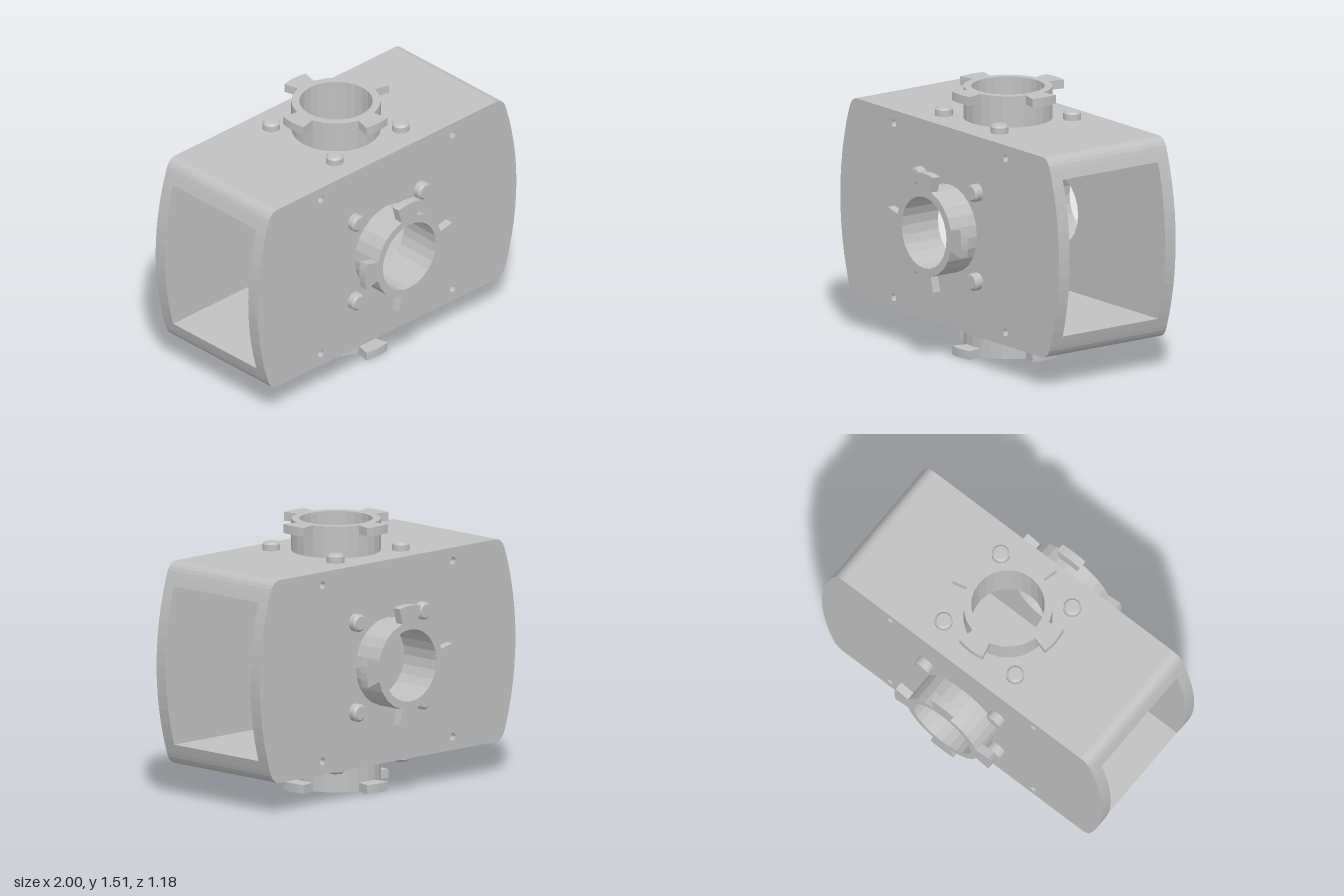
import * as THREE from 'three';

const CY = 0.7575;             // height of the body's centre
const HALF_H = 0.575, HALF_D = 0.41;
const OPEN_H = 0.45, OPEN_D = 0.335;
const BORE = 0.205, SIDES = 24;

const grey = new THREE.MeshStandardMaterial({ color: 0xc0c0c0 });
grey.name = 'grey metal';

// points of an arc, angles in degrees
function arc(r, from, to, n, cx = 0, cy = 0) {
  return Array.from({ length: n + 1 }, (_, i) => {
    const a = THREE.MathUtils.degToRad(from + (to - from) * i / n);
    return new THREE.Vector2(cx + r * Math.cos(a), cy + r * Math.sin(a));
  });
}
const circle = (r, n, cx, cy) => arc(r, 0, 360, n, cx, cy).slice(0, n);

function extrude(points, holes, depth, z) {
  const shape = new THREE.Shape(points);
  shape.holes = holes.map(h => new THREE.Path(h));
  const g = new THREE.ExtrudeGeometry(shape, { depth, bevelEnabled: false });
  return g.translate(0, 0, z);
}

function add(parent, name, geometry) {
  const mesh = new THREE.Mesh(geometry, grey);
  mesh.name = name;
  parent.add(mesh);
  return mesh;
}

// bulged end of the body: x for a height above the centre
const R = 1.62;
const endX = y => 1 - R + Math.sqrt(R * R - y * y);

// right-hand outline from height y0 up to the flat top, with the rounded corner
function upperEdge(y0, n) {
  const y1 = 0.505, pts = [];
  for (let i = 0; i <= n; i++) {
    const y = y0 + (y1 - y0) * i / n;
    pts.push(new THREE.Vector2(endX(y), y));
  }
  const corner = new THREE.QuadraticBezierCurve(
    new THREE.Vector2(endX(y1), y1), new THREE.Vector2(0.899, HALF_H), new THREE.Vector2(0.845, HALF_H));
  return pts.concat(corner.getPoints(5).slice(1));
}

// tubular flange with four locking lugs and four bolts, facing +z
function makePort(name, base) {
  const port = new THREE.Group();
  port.name = name;
  add(port, 'portTube', extrude(circle(0.25, SIDES), [circle(BORE, SIDES)], 0.18, base));
  for (let i = 0; i < 4; i++) {
    const a = i * 90;
    const lug = [...arc(0.34, a - 14, a + 14, 4), ...arc(0.24, a + 14, a - 14, 4)];
    add(port, 'lockingLug', extrude(lug, [], 0.05, base + 0.13));
    const bolt = new THREE.Group();
    bolt.name = 'bolt';
    add(bolt, 'boltHead', new THREE.CylinderGeometry(0.05, 0.05, 0.035, 20, 1, true).translate(0, 0.0175, 0));
    add(bolt, 'boltChamfer', new THREE.CylinderGeometry(0.038, 0.05, 0.012, 20).translate(0, 0.041, 0));
    bolt.rotation.x = Math.PI / 2;
    bolt.position.set(i % 2 ? 0.255 : -0.255, i < 2 ? 0.255 : -0.255, base);
    port.add(bolt);
  }
  return port;
}

export function createModel() {
  const model = new THREE.Group();
  model.name = 'fourPortHousing';
  const body = new THREE.Group();
  body.name = 'body';
  body.position.y = CY;
  model.add(body);

  // front and back plates with bore and four blind screw holes
  const quarter = upperEdge(0, 6);
  const flipX = p => new THREE.Vector2(-p.x, p.y), flipY = p => new THREE.Vector2(p.x, -p.y);
  const half = [...quarter.slice(1).reverse().map(flipY), ...quarter];
  const outline = [...half, ...half.map(flipX).reverse()];
  const holes = [circle(BORE, SIDES)];
  for (const x of [-0.51, 0.51]) for (const y of [-0.5, 0.5]) holes.push(circle(0.022, 12, x, y));
  const plateDepth = HALF_D - OPEN_D;
  add(body, 'frontPlate', extrude(outline, holes, plateDepth, OPEN_D));
  add(body, 'backPlate', extrude(outline, holes, plateDepth, -HALF_D));

  // top and bottom walls: a bored middle block and two rounded ends each
  const MID = 0.4;
  const wallEnd = [new THREE.Vector2(MID, OPEN_H), ...upperEdge(OPEN_H, 2), new THREE.Vector2(MID, HALF_H)];
  const midRect = [[-MID, -OPEN_D], [MID, -OPEN_D], [MID, OPEN_D], [-MID, OPEN_D]].map(p => new THREE.Vector2(...p));
  for (const turn of [0, Math.PI]) {
    const wall = new THREE.Group();
    wall.name = turn ? 'bottomWall' : 'topWall';
    wall.rotation.z = turn;
    add(wall, 'wallMiddle', extrude(midRect, [circle(BORE, SIDES)], HALF_H - OPEN_H, OPEN_H).rotateX(-Math.PI / 2));
    add(wall, 'wallEnd', extrude(wallEnd, [], 2 * OPEN_D, -OPEN_D));
    add(wall, 'wallEnd', extrude(wallEnd.map(flipX), [], 2 * OPEN_D, -OPEN_D));
    body.add(wall);
  }

  // one port on each closed side
  const front = makePort('frontPort', HALF_D);
  const back = makePort('backPort', HALF_D);
  back.rotation.y = Math.PI;
  const top = makePort('topPort', HALF_H);
  top.rotation.x = -Math.PI / 2;
  const bottom = makePort('bottomPort', HALF_H);
  bottom.rotation.x = Math.PI / 2;
  body.add(front, back, top, bottom);
  return model;
}
